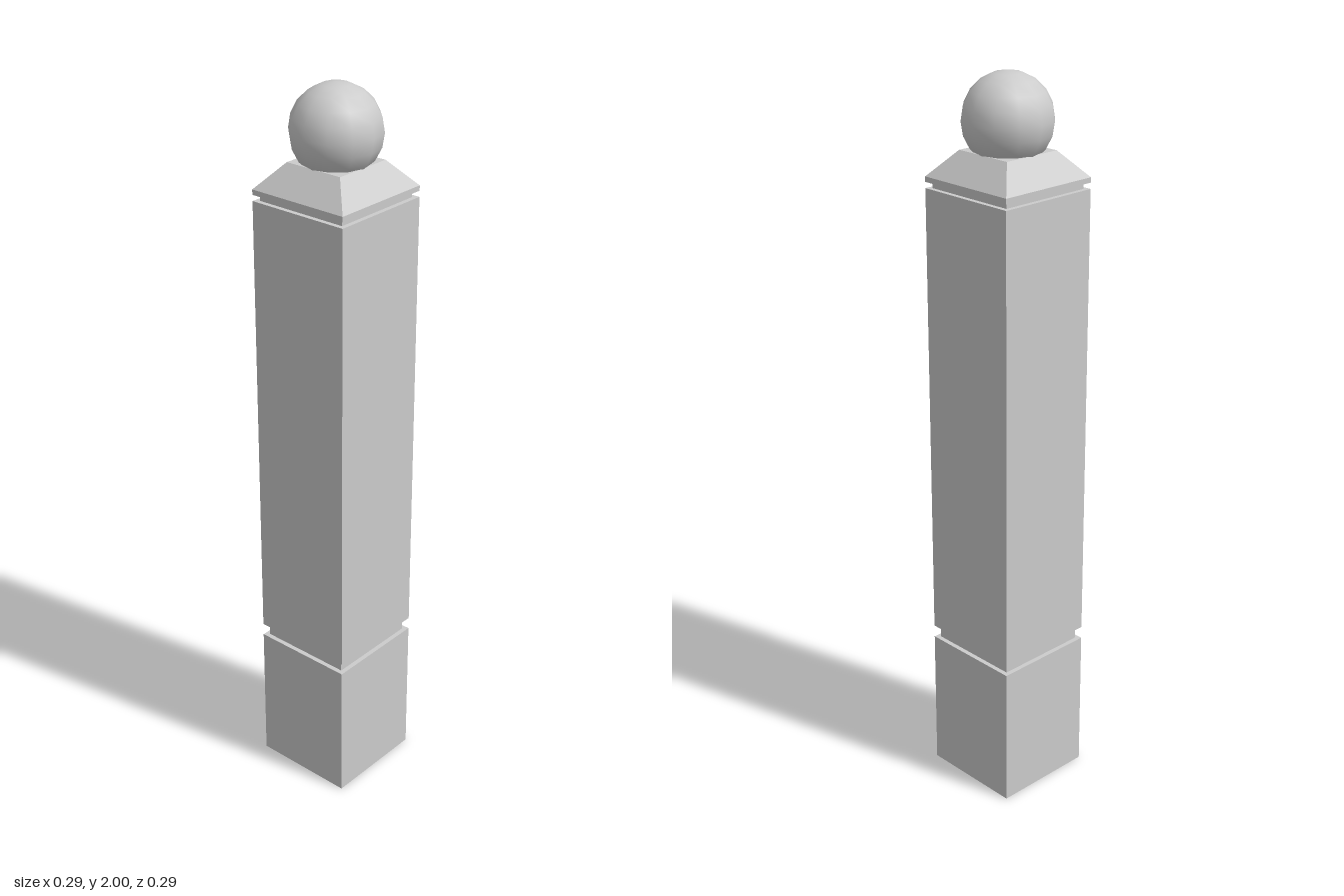
import * as THREE from 'three';

const flat = new THREE.MeshStandardMaterial({ color: 0xcccccc, flatShading: true });
const smooth = new THREE.MeshStandardMaterial({ color: 0xcccccc });

// Square block from y0 to y1, with half widths at its bottom and top
function block(name, y0, y1, bottom, top = bottom) {
  const geometry = new THREE.CylinderGeometry(top * Math.SQRT2, bottom * Math.SQRT2, y1 - y0, 4);
  geometry.rotateY(Math.PI / 4);
  geometry.translate(0, (y0 + y1) / 2, 0);
  const mesh = new THREE.Mesh(geometry, flat);
  mesh.name = name;
  return mesh;
}

export function createModel() {
  const group = new THREE.Group();
  group.name = 'gatePost';
  const half = 0.147, inset = 0.134;

  // Square post with two recessed bands
  group.add(
    block('base', 0, 0.403, half),
    block('lowerGroove', 0.403, 0.438, inset),
    block('shaft', 0.438, 1.704, half),
    block('upperGroove', 1.704, 1.72, inset),
    block('capSlab', 1.72, 1.734, half),
    block('capSlope', 1.734, 1.802, half, 0.086),
  );

  // Ball finial, sunk into the cap
  const ball = new THREE.Mesh(new THREE.SphereGeometry(0.12, 12, 10), smooth);
  ball.name = 'ballFinial';
  ball.position.y = 1.88;
  group.add(ball);

  return group;
}
